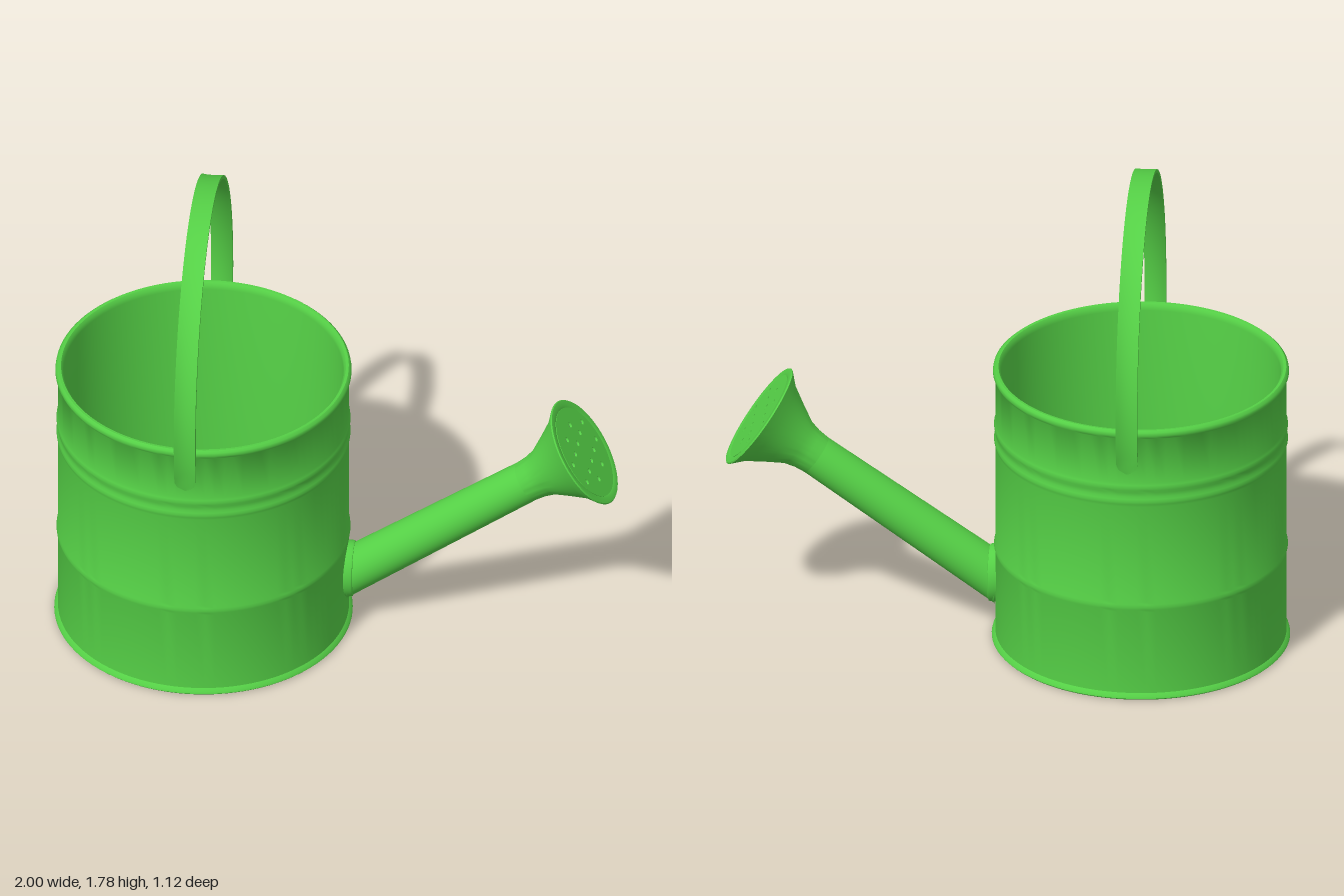
import * as THREE from 'three';
import { toCreasedNormals } from 'three/addons/utils/BufferGeometryUtils.js';

const green = new THREE.MeshStandardMaterial({ color: 0x55d046 });
const dark = new THREE.MeshStandardMaterial({ color: 0x777777 });
const CAN_X = -0.47;

function part(name, geometry, parent, material = green) {
  const mesh = new THREE.Mesh(geometry, material);
  mesh.name = name;
  parent.add(mesh);
  return mesh;
}

function lathe(points, segments = 96) {
  const profile = points.map(([r, y]) => new THREE.Vector2(r, y));
  return toCreasedNormals(new THREE.LatheGeometry(profile, segments), 0.7);
}

// Small raised ring on the can wall
function bead(y, r = 0.514, height = 0.02, bulge = 0.005) {
  return [-1, -0.5, 0, 0.5, 1].map(s => [r + bulge * Math.cos(s * Math.PI / 2) ** 2, y + s * height]);
}

// Strap bent over an ellipse, rounded at its ends and dished at the sides
function strapGeometry() {
  const geometry = new THREE.BoxGeometry(1, 1, 1, 8, 1, 120);
  const pos = geometry.attributes.position;
  const endAngle = Math.PI / 2 + 0.315, a = 0.545, b = 0.674;
  for (let i = 0; i < pos.count; i++) {
    const u = pos.getX(i) * 2, v = pos.getY(i), phi = pos.getZ(i) * 2 * endAngle;
    const side = Math.sin(phi) ** 2;
    const toEnd = Math.min(1, (endAngle - Math.abs(phi)) / 0.08);
    const halfWidth = 0.038 * Math.sqrt(Math.max(0.01, 1 - (1 - toEnd) ** 2));
    const thickness = 0.011 + 0.009 * side;
    const out = v * thickness + 0.009 * side * (u * u - 0.5) * toEnd;
    const normal = new THREE.Vector2(Math.sin(phi) / a, Math.cos(phi) / b).normalize();
    pos.setXYZ(i, u * halfWidth,
      1.1 + b * Math.cos(phi) + normal.y * out,
      a * Math.sin(phi) + normal.x * out);
  }
  geometry.computeVertexNormals();
  return geometry;
}

export function createModel() {
  const model = new THREE.Group();
  model.name = 'wateringCan';

  // Can: base rim, beaded wall, rolled top rim, inner wall and floor
  const can = part('canBody', lathe([
    [0, 0], [0.522, 0], [0.527, 0.005], [0.525, 0.012], [0.514, 0.022],
    ...bead(0.36), ...bead(0.775), ...bead(0.83),
    [0.514, 1.022], [0.519, 1.028], [0.523, 1.038], [0.521, 1.049], [0.513, 1.056],
    [0.503, 1.055], [0.496, 1.046], [0.494, 1.03], [0.494, 0.02], [0, 0.02],
  ]), model);
  can.position.x = CAN_X;

  const handle = part('handle', strapGeometry(), model);
  handle.position.x = CAN_X;

  // Oval collar where the spout meets the can
  const collar = part('spoutCollar', lathe([
    [0.088, 0], [0.088, 0.03], [0.086, 0.036], [0.08, 0.039], [0, 0.039],
  ], 48), model);
  collar.rotation.z = -Math.PI / 2;
  collar.scale.x = 1.2;
  collar.position.set(0.03, 0.219, 0);

  // Spout: lower end is cut upright against the can
  const angle = THREE.MathUtils.degToRad(35.2), length = 0.778;
  const spout = new THREE.Group();
  spout.name = 'spout';
  spout.position.set(0.045, 0.205, 0);
  spout.rotation.z = angle - Math.PI / 2;
  model.add(spout);

  const tube = new THREE.CylinderGeometry(0.074, 0.082, length, 48, 1, true);
  tube.translate(0, length / 2, 0);
  const pos = tube.attributes.position;
  for (let i = 0; i < pos.count; i++) {
    if (pos.getY(i) < 0.01) pos.setY(i, -pos.getX(i) * Math.tan(angle));
  }
  part('spoutTube', tube, spout);

  // Rose: flared head with a lip
  const rose = new THREE.Group();
  rose.name = 'rose';
  rose.position.y = length;
  spout.add(rose);
  part('roseCone', lathe([
    [0.068, -0.004], [0.074, 0], [0.078, 0.04], [0.088, 0.08], [0.122, 0.14], [0.161, 0.204],
    [0.198, 0.242], [0.202, 0.247], [0.199, 0.251], [0.18, 0.252], [0.17, 0.247],
  ], 64), rose);

  // Perforated face plate with a darker backing seen through the holes
  const plate = new THREE.Shape().absarc(0, 0, 0.172, 0, Math.PI * 2);
  const rows = [[-0.098, [-0.045, 0.045]], [-0.043, [-0.13, -0.065, 0, 0.065, 0.13]],
    [0.043, [-0.13, -0.065, 0, 0.065, 0.13]], [0.098, [-0.045, 0.045]]];
  for (const [x, offsets] of rows) {
    for (const y of offsets) plate.holes.push(new THREE.Path().absarc(x, y, 0.01, 0, Math.PI * 2, true));
  }
  const face = part('roseFace', new THREE.ExtrudeGeometry(plate,
    { depth: 0.008, bevelEnabled: false, curveSegments: 32 }), rose);
  face.rotation.x = -Math.PI / 2;
  face.position.y = 0.242;
  const backing = part('roseHoles', new THREE.CircleGeometry(0.16, 48), rose, dark);
  backing.rotation.x = -Math.PI / 2;
  backing.position.y = 0.241;

  return model;
}
